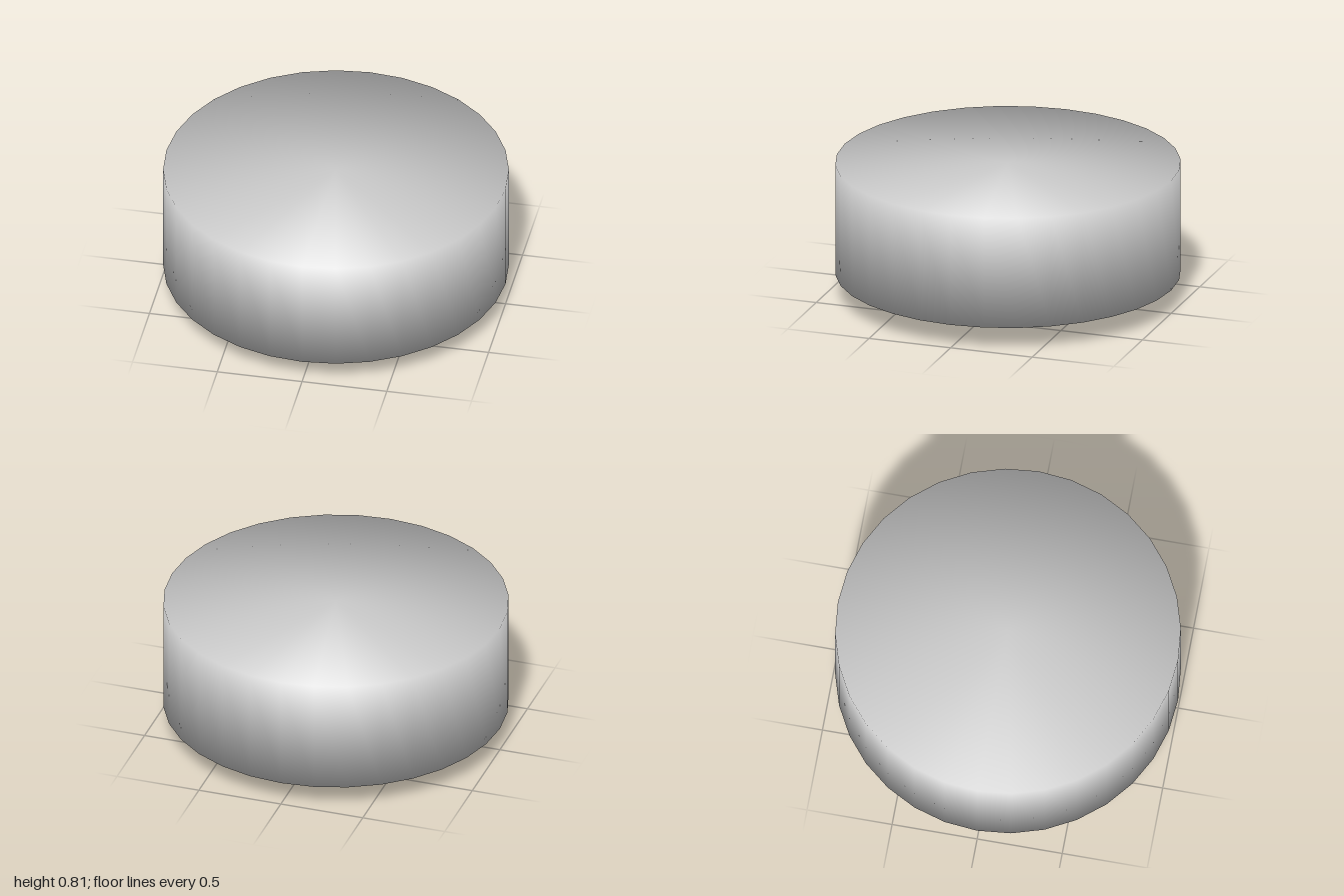
import * as THREE from 'three';

const SIDES = 32;

// Lathe whose corner normals are the even average of the two adjoining faces,
// giving soft shading across the whole surface.
function softLathe(profile) {
  const pts = profile.map(([r, y]) => new THREE.Vector2(r, y));
  const geo = new THREE.LatheGeometry(pts, SIDES);
  const faces = pts.slice(1).map((p, i) =>
    new THREE.Vector2(p.y - pts[i].y, pts[i].x - p.x).normalize());
  const corners = pts.map((p, i) => {
    const n = new THREE.Vector2();
    if (i > 0) n.add(faces[i - 1]);
    if (i < faces.length) n.add(faces[i]);
    if (p.x === 0) n.x = 0;
    return n.normalize();
  });
  const normal = geo.attributes.normal;
  for (let s = 0; s <= SIDES; s++) {
    const a = (s / SIDES) * Math.PI * 2;
    corners.forEach((n, j) =>
      normal.setXYZ(s * pts.length + j, n.x * Math.sin(a), n.y, n.x * Math.cos(a)));
  }
  return geo;
}

export function createModel() {
  const group = new THREE.Group();
  group.name = 'roundKnob';
  const material = new THREE.MeshStandardMaterial({ color: 0xcccccc });

  const profile = [
    // central button with a shallow dish
    [0, 0.07], [0.13, 0.07], [0.157, 0.045], [0.22, 0.045], [0.25, 0.06],
    // groove around the button
    [0.25, 0.11], [0.28, 0.11],
    // tapered foot
    [0.31, 0], [0.455, 0], [0.52, 0.2],
    // groove around the foot
    [0.61, 0.2], [0.61, 0.14],
    // main drum
    [1, 0.14], [1, 0.81], [0, 0.81],
  ];
  const body = new THREE.Mesh(softLathe(profile), material);
  body.name = 'knobBody';
  group.add(body);
  return group;
}
